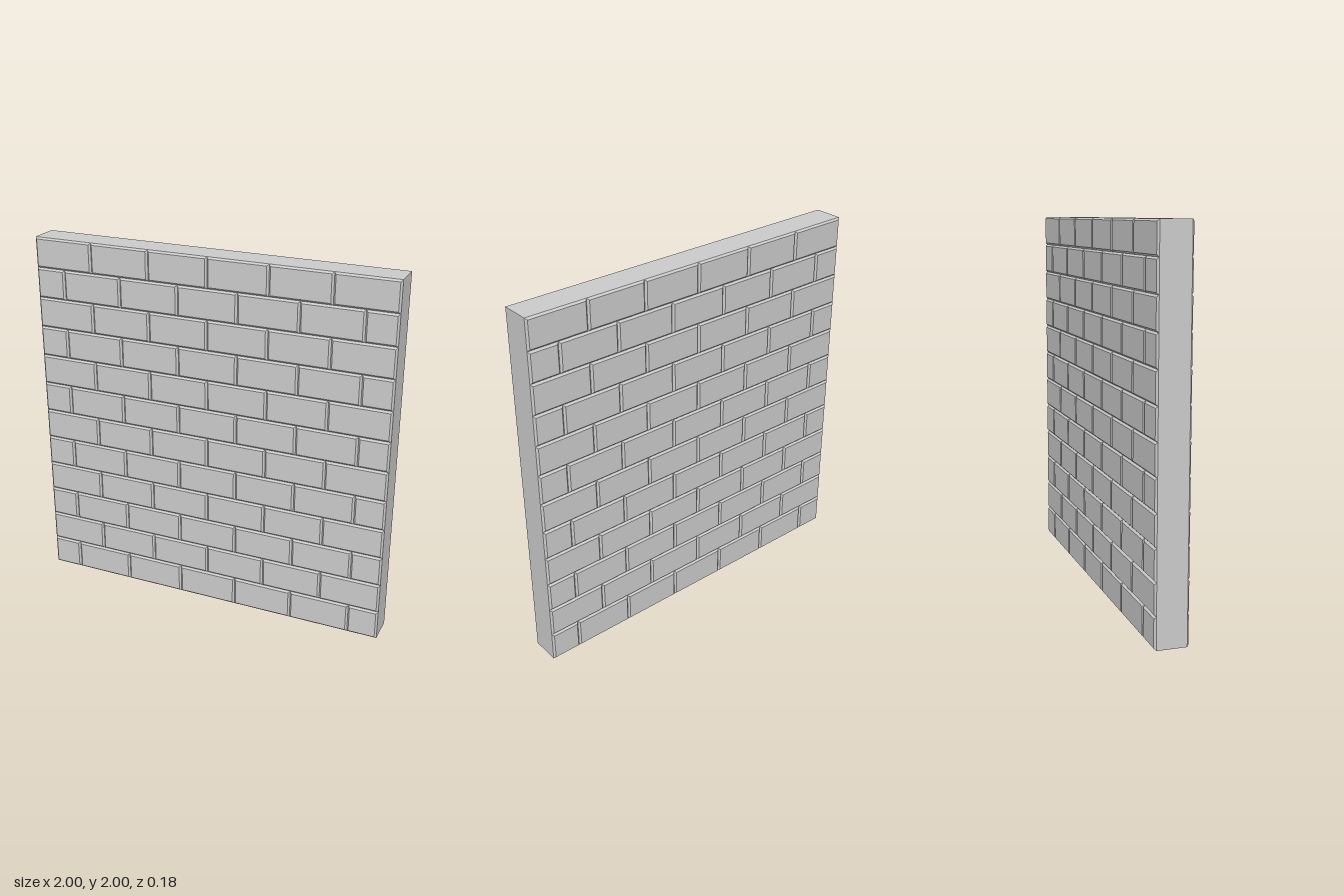
import * as THREE from 'three';
import { mergeGeometries } from 'three/addons/utils/BufferGeometryUtils.js';

const SIZE = 2, HALF_DEPTH = 0.088, BEVEL = 0.01;
const ROWS = 12, PER_ROW = 6;
const ROW_H = SIZE / ROWS, BRICK_W = SIZE / PER_ROW;
const CORE_Z = HALF_DEPTH - BEVEL;

// Box that keeps only its first few faces (order: +x, -x, +y, -y, +z, -z)
function openBox(w, h, d, faces) {
  const g = new THREE.BoxGeometry(w, h, d);
  g.setIndex([...g.index.array].slice(0, faces * 6));
  return g;
}

// Raised brick face: bevelled on all four edges, open at the back
function brickFace(x0, x1, row) {
  const g = openBox(x1 - x0, ROW_H, BEVEL, 5);
  const p = g.attributes.position;
  for (let i = 0; i < p.count; i++) {
    if (p.getZ(i) > 0) {
      p.setX(i, p.getX(i) - Math.sign(p.getX(i)) * BEVEL);
      p.setY(i, p.getY(i) - Math.sign(p.getY(i)) * BEVEL);
    }
  }
  g.translate((x0 + x1) / 2, (row + 0.5) * ROW_H, CORE_Z + BEVEL / 2);
  const flat = g.toNonIndexed();
  flat.computeVertexNormals();
  return flat;
}

// Running bond: every other row is shifted by half a brick
function brickwork() {
  const parts = [];
  for (let row = 0; row < ROWS; row++) {
    const shift = row % 2 === 0 ? BRICK_W / 2 : 0;
    for (let i = shift ? -1 : 0; i < PER_ROW; i++) {
      const x = -SIZE / 2 + shift + i * BRICK_W;
      parts.push(brickFace(Math.max(x, -SIZE / 2), Math.min(x + BRICK_W, SIZE / 2), row));
    }
  }
  return mergeGeometries(parts);
}

export function createModel() {
  const wall = new THREE.Group();
  wall.name = 'brickWall';
  const material = new THREE.MeshStandardMaterial({ color: 0xcccccc, flatShading: true });

  // Smooth ends, top and underside
  const core = new THREE.Mesh(openBox(SIZE, SIZE, CORE_Z * 2, 4), material);
  core.name = 'wallEdges';
  core.position.y = SIZE / 2;
  wall.add(core);

  // Same brickwork on both sides
  const bricks = brickwork();
  for (const [name, turn] of [['frontBricks', 0], ['backBricks', Math.PI]]) {
    const side = new THREE.Mesh(bricks, material);
    side.name = name;
    side.rotation.y = turn;
    wall.add(side);
  }
  return wall;
}
